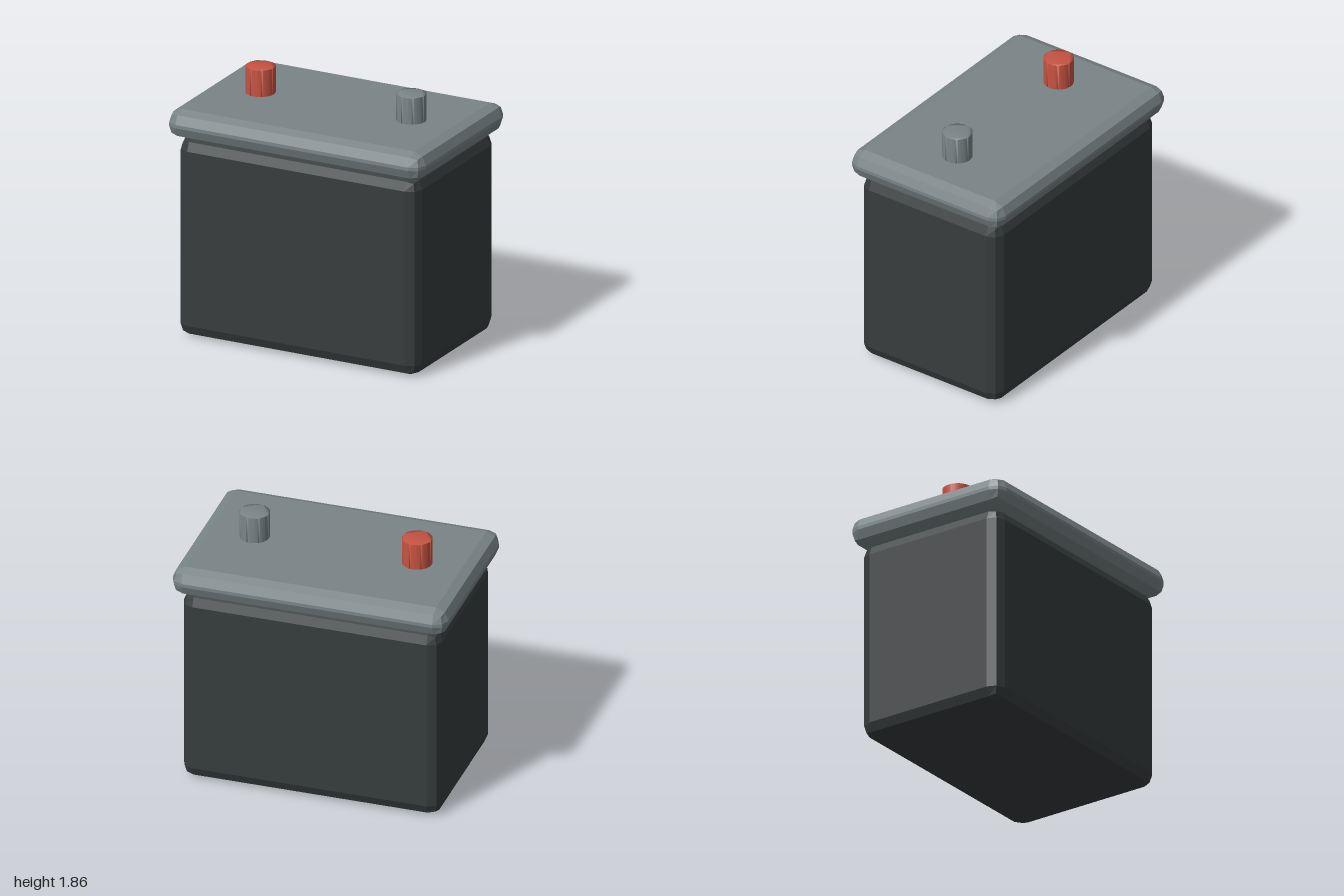
import * as THREE from 'three';
import { mergeVertices } from 'three/addons/utils/BufferGeometryUtils.js';
import { RoundedBoxGeometry } from 'three/addons/geometries/RoundedBoxGeometry.js';

const BEVEL = 0.09;

// Faceted block with a two-step bevel, placed by its bottom and top heights
function block(name, width, depth, bottom, top, color) {
  const mesh = new THREE.Mesh(
    new RoundedBoxGeometry(width, top - bottom, depth, 1, BEVEL),
    new THREE.MeshStandardMaterial({ color, flatShading: true })
  );
  mesh.name = name;
  mesh.position.y = (bottom + top) / 2;
  return mesh;
}

// Round post whose normals blend smoothly over the rim
function terminal(name, x, color) {
  const bottom = 1.6, top = 1.858;
  const circle = new THREE.Shape().absarc(0, 0, 0.105, 0, Math.PI * 2);
  let geometry = new THREE.ExtrudeGeometry(circle, {
    depth: top - bottom, bevelEnabled: false, curveSegments: 32
  });
  geometry.rotateX(-Math.PI / 2);
  geometry.deleteAttribute('normal');
  geometry.deleteAttribute('uv');
  geometry = mergeVertices(geometry);
  geometry.computeVertexNormals();
  const mesh = new THREE.Mesh(geometry, new THREE.MeshStandardMaterial({ color }));
  mesh.name = name;
  mesh.position.set(x, bottom, 0);
  return mesh;
}

export function createModel() {
  const group = new THREE.Group();
  group.name = 'battery';
  group.add(
    block('case', 1.88, 1.18, 0, 1.46, 0x373c3d),
    block('lid', 2, 1.295, 1.46, 1.665, 0x7a8587),
    terminal('positiveTerminal', -0.59, 0xc65342),
    terminal('negativeTerminal', 0.59, 0x7a8587)
  );
  return group;
}
